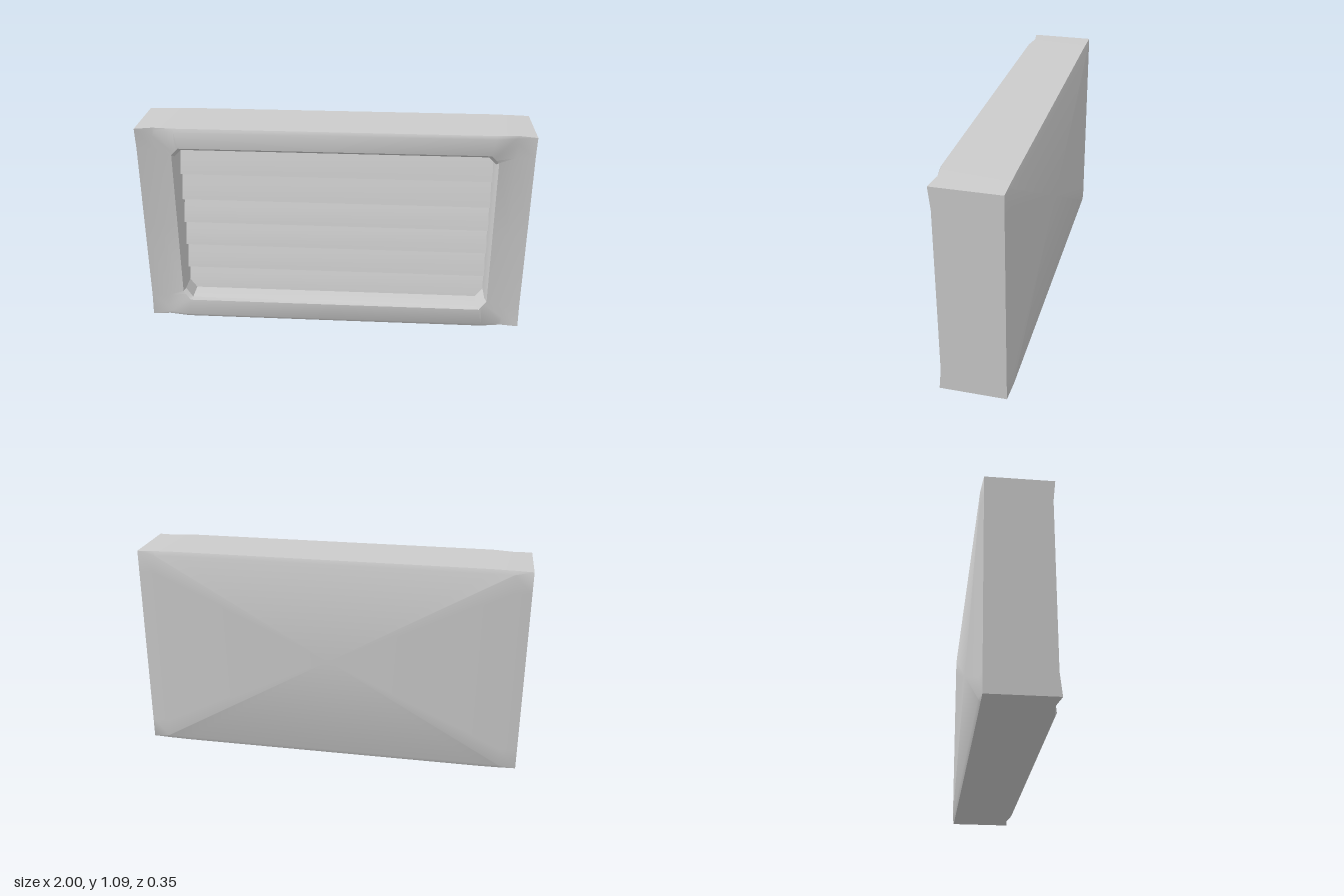
import * as THREE from 'three';
import { toCreasedNormals } from 'three/addons/utils/BufferGeometryUtils.js';

const CENTRE_Y = 0.547;
const grey = new THREE.MeshStandardMaterial({ color: 0xcccccc });

// Mirrors one quadrant of [x, y, z] points (+x axis round to +y axis) into a full loop
function fullLoop(q) {
  const flip = (pts, sx, sy) => pts.map(([x, y, z]) => [x * sx, y * sy, z]);
  const back = [...q].reverse();
  return [
    ...q,
    ...flip(back.slice(1), -1, 1),
    ...flip(q.slice(1), -1, -1),
    ...flip(back.slice(1, -1), 1, -1),
  ];
}

// Skins a series of loops with quads
function loft(loops) {
  const n = loops[0].length;
  const index = [];
  for (let r = 0; r < loops.length - 1; r++) {
    for (let i = 0; i < n; i++) {
      const a = r * n + i, b = r * n + (i + 1) % n;
      index.push(a, b, b + n, a, b + n, a + n);
    }
  }
  const geometry = new THREE.BufferGeometry();
  geometry.setAttribute('position', new THREE.Float32BufferAttribute(loops.flat(2), 3));
  geometry.setIndex(index);
  geometry.translate(0, CENTRE_Y, 0);
  return toCreasedNormals(geometry, 0.7);
}

// Housing: back panel, side walls, dished front frame, opening lip and recess wall
function buildHousing() {
  const outer = [[1, 0, 0.154], [1, 0.43, 0.154], [1, 0.542, 0.165],
    [0.91, 0.545, 0.15], [0.8, 0.547, 0.164], [0, 0.547, 0.164]];
  const crest = [[0.91, 0, 0.149], [0.91, 0.43, 0.149], [0.915, 0.5, 0.15],
    [0.9, 0.53, 0.152], [0.8, 0.53, 0.174], [0, 0.53, 0.174]];
  const opening = [[0.825, 0, 0.152], [0.825, 0.4, 0.152], [0.812, 0.414, 0.157],
    [0.799, 0.428, 0.163], [0.785, 0.443, 0.17], [0, 0.443, 0.17]];
  const panel = [[0.91, 0], [0.91, 0.43], [0.91, 0.525], [0.905, 0.525], [0.8, 0.525], [0, 0.525]];

  const atDepth = (q, z) => q.map(([x, y]) => [x, y, z]);
  const inset = (q, d) => q.map(([x, y, z]) => [Math.max(0, x - (x && d)), Math.max(0, y - (y && d)), z]);
  const lip = inset(opening, 0.012).map(([x, y, z]) => [x, y, z - 0.015]);

  return loft([
    panel.map(() => [0, 0, -0.174]),
    atDepth(panel, -0.174),
    atDepth(outer, -0.164),
    outer, crest, opening, lip,
    atDepth(lip, -0.03),
  ].map(fullLoop));
}

// Louvres: a sawtooth profile swept across the opening
function buildLouvres() {
  const width = 1.64, backZ = -0.04;
  const edges = [0.8, 0.655, 0.52, 0.385, 0.245, 0.11];
  const profile = new THREE.Shape();
  profile.moveTo(backZ, 0.99);
  profile.lineTo(0, 0.99);
  let top = 0.94;
  for (const edge of edges) {
    profile.lineTo(0, top);
    profile.lineTo(0.03, edge + 0.065);
    profile.lineTo(0.05, edge);
    profile.lineTo(0, edge);
    top = edge - 0.005;
  }
  profile.lineTo(backZ, 0.11);
  const geometry = new THREE.ExtrudeGeometry(profile, { depth: width, bevelEnabled: false });
  geometry.rotateY(-Math.PI / 2);
  geometry.translate(width / 2, 0, 0);
  return toCreasedNormals(geometry, 0.2);
}

export function createModel() {
  const model = new THREE.Group();
  model.name = 'wallVent';
  const parts = { housing: buildHousing(), louvres: buildLouvres() };
  for (const [name, geometry] of Object.entries(parts)) {
    const mesh = new THREE.Mesh(geometry, grey);
    mesh.name = name;
    model.add(mesh);
  }
  return model;
}
